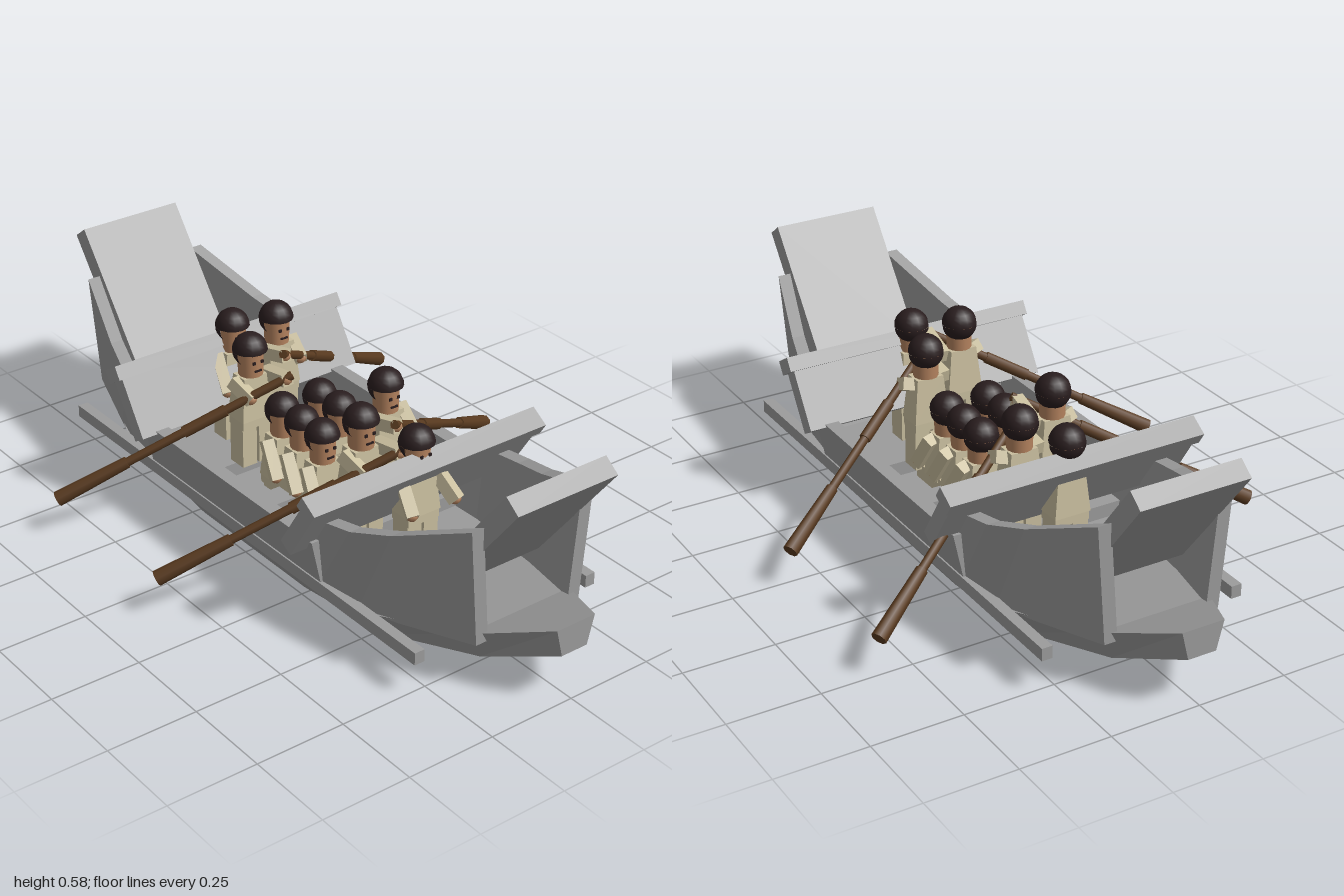
import * as THREE from 'three';

const mat = (name, color, side = THREE.FrontSide) => {
  const m = new THREE.MeshStandardMaterial({ color, side });
  m.name = name;
  return m;
};
const grey = mat('hull grey', 0x9c9c9c);
const tan = mat('robe tan', 0xcabf9f);
const skin = mat('skin', 0xb5835f);
const hair = mat('hair dark', 0x291d1e, THREE.DoubleSide);
const wood = mat('oar brown', 0x5a3b20);

function add(parent, name, geo, material, x = 0, y = 0, z = 0) {
  const m = new THREE.Mesh(geo, material);
  m.name = name;
  m.position.set(x, y, z);
  parent.add(m);
  return m;
}
const box = (w, h, d) => new THREE.BoxGeometry(w, h, d);

// Flat-shaded solid through closed rings, ordered by rising x
function loft(rings) {
  const p = [];
  const tri = (a, b, c) => p.push(...a, ...b, ...c);
  const n = rings[0].length;
  for (let s = 0; s < rings.length - 1; s++) {
    const a = rings[s], b = rings[s + 1];
    for (let i = 0; i < n; i++) {
      const j = (i + 1) % n;
      tri(a[i], b[i], b[j]);
      tri(a[i], b[j], a[j]);
    }
  }
  const first = rings[0], last = rings[rings.length - 1];
  for (let i = 1; i < n - 1; i++) {
    tri(first[0], first[i], first[i + 1]);
    tri(last[0], last[i + 1], last[i]);
  }
  const g = new THREE.BufferGeometry();
  g.setAttribute('position', new THREE.Float32BufferAttribute(p, 3));
  g.computeVertexNormals();
  return g;
}
const mirrorZ = rings => rings.map(r => r.map(([x, y, z]) => [x, y, -z]).reverse());
const mirrorX = rings => rings.map(r => r.map(([x, y, z]) => [-x, y, z])).reverse();

// Rod or limb between two points
function between(parent, name, a, b, geo, material) {
  const A = new THREE.Vector3(...a), B = new THREE.Vector3(...b);
  const m = add(parent, name, geo(A.distanceTo(B)), material);
  m.position.copy(A).lerp(B, 0.5);
  m.quaternion.setFromUnitVectors(new THREE.Vector3(0, 1, 0), B.clone().sub(A).normalize());
  return m;
}

function buildHull(root) {
  const hull = new THREE.Group();
  hull.name = 'hull';
  root.add(hull);

  // Lower hull: x, bottom y, bottom half width, top y, top half width
  const half = [
    [0.23, 0.004, 0.225, 0.1, 0.29], [0.53, 0.015, 0.2, 0.105, 0.265],
    [0.8, 0.065, 0.12, 0.15, 0.165], [1, 0.145, 0.04, 0.225, 0.06],
  ].map(([x, yb, wb, yt, wt]) => [[x, yt, wt], [x, yt, -wt], [x, yb, -wb], [x, yb, wb]]);
  add(hull, 'lowerHull', loft([...mirrorX(half), ...half]), grey);

  // Side planking: x, bottom y, bottom z, top y, top z
  const wall = (rows, t) => rows.map(([x, yb, zb, yt, zt]) =>
    [[x, yt, zt], [x, yt, zt - t], [x, yb, zb - t], [x, yb, zb]]);
  const endWall = wall([
    [0.36, 0.1, 0.28, 0.31, 0.3], [0.5, 0.1, 0.262, 0.335, 0.29],
    [0.62, 0.11, 0.232, 0.372, 0.258], [0.835, 0.135, 0.165, 0.465, 0.192]], 0.037);
  const midWall = wall([[-0.38, 0.09, 0.28, 0.25, 0.315], [0.38, 0.09, 0.28, 0.25, 0.315]], 0.04);
  for (const rings of [endWall, mirrorX(endWall)]) {
    add(hull, 'endPlanking', loft(rings), grey);
    add(hull, 'endPlanking', loft(mirrorZ(rings)), grey);
  }
  add(hull, 'middlePlanking', loft(midWall), grey);
  add(hull, 'middlePlanking', loft(mirrorZ(midWall)), grey);

  for (const s of [-1, 1]) {
    add(hull, 'rubbingRail', box(1.52, 0.035, 0.03), grey, 0, 0.107, s * 0.277);
    // Raking boards at the ends and leaning cross boards
    add(hull, 'endBoard', box(0.42, 0.055, 0.31), grey, s * 0.8, 0.4, 0).rotation.z = s * 0.92;
    add(hull, 'crossBoard', box(0.2, 0.046, 0.72), grey, s * 0.385, 0.315, 0).rotation.z = s * 1.004;
    add(hull, 'crossBoardCap', box(0.04, 0.06, 0.745), grey, s * 0.432, 0.39, 0).rotation.z = s * 1.004;
  }
  for (const x of [-0.24, 0, 0.24]) add(hull, 'thwart', box(0.07, 0.04, 0.52), grey, x, 0.12, 0);
}

// Shared figure geometry, facing +x
const torsoGeo = new THREE.CylinderGeometry(0.055, 0.074, 0.125, 4).toNonIndexed();
torsoGeo.rotateY(Math.PI / 4).scale(0.68, 1, 1);
torsoGeo.computeVertexNormals();
const headGeo = new THREE.CylinderGeometry(0.036, 0.034, 0.075, 12);
const crownGeo = new THREE.SphereGeometry(0.048, 14, 6, 0, Math.PI * 2, 0, Math.PI * 0.5);
const backHairGeo = new THREE.SphereGeometry(0.048, 12, 5, -1.75, 3.5, Math.PI * 0.5, Math.PI * 0.33);
const handGeo = new THREE.SphereGeometry(0.017, 8, 6);

function person(root, x, y, z, seated, hands) {
  const g = new THREE.Group();
  g.name = seated ? 'passenger' : 'crewMember';
  g.position.set(x, y, z);
  root.add(g);
  add(g, 'torso', torsoGeo, tan, 0, 0.202, 0);
  add(g, 'hips', box(0.066, 0.03, 0.1), tan, 0, 0.13, 0);
  add(g, 'head', headGeo, skin, 0, 0.302, 0);
  add(g, 'hairCrown', crownGeo, hair, -0.002, 0.335, 0);
  add(g, 'backHair', backHairGeo, hair, -0.002, 0.335, 0);
  add(g, 'mouth', box(0.004, 0.005, 0.022), hair, 0.035, 0.285, 0);
  for (const s of [-1, 1]) {
    if (seated) add(g, 'leg', box(0.1, 0.045, 0.046), tan, 0.03, 0.13, s * 0.027);
    else add(g, 'leg', box(0.058, 0.125, 0.046), tan, 0, 0.0625, s * 0.027);
    add(g, 'eye', box(0.004, 0.008, 0.008), hair, 0.035, 0.31, s * 0.013);
    const hand = hands[s < 0 ? 0 : 1];
    between(g, 'arm', [0, 0.25, s * 0.052], hand, l => box(0.034, l + 0.015, 0.032), tan);
    add(g, 'hand', handGeo, skin, ...hand);
  }
}

// Oar running outward and down from the grip
function oar(root, x, side) {
  const at = t => [x - 0.295 * t, 0.425 - 0.32 * t, side * (0.025 + 0.565 * t)];
  const g = new THREE.Group();
  g.name = 'oar';
  root.add(g);
  between(g, 'oarShaft', at(0), at(0.75), l => new THREE.CylinderGeometry(0.012, 0.012, l, 8), wood);
  between(g, 'oarBlade', at(0.7), at(1), l => new THREE.CylinderGeometry(0.021, 0.016, l, 8), wood);
  between(g, 'oarCollar', at(0.28), at(0.46), l => new THREE.CylinderGeometry(0.016, 0.016, l, 8), wood);
}

export function createModel() {
  const root = new THREE.Group();
  root.name = 'rowingBoat';
  buildHull(root);

  // Four rowers, each holding an oar
  for (const [x, side] of [[-0.31, -1], [-0.2, 1], [0.17, -1], [0.28, 1]]) {
    const inner = [0.098, 0.272, -side * 0.045], outer = [0.055, 0.222, side * 0.04];
    person(root, x, 0.14, side * 0.083, false, side > 0 ? [inner, outer] : [outer, inner]);
    oar(root, x + 0.108, side);
  }
  // One lookout near each end
  for (const x of [-0.4, 0.4])
    person(root, x, 0.105, 0, false, [[0.07, 0.18, -0.07], [0.07, 0.18, 0.07]]);
  // Six seated passengers in two rows
  for (const x of [-0.088, 0, 0.088])
    for (const z of [-0.065, 0.06])
      person(root, x, 0, z, true, [[0.05, 0.17, -0.06], [0.05, 0.17, 0.06]]);
  return root;
}
